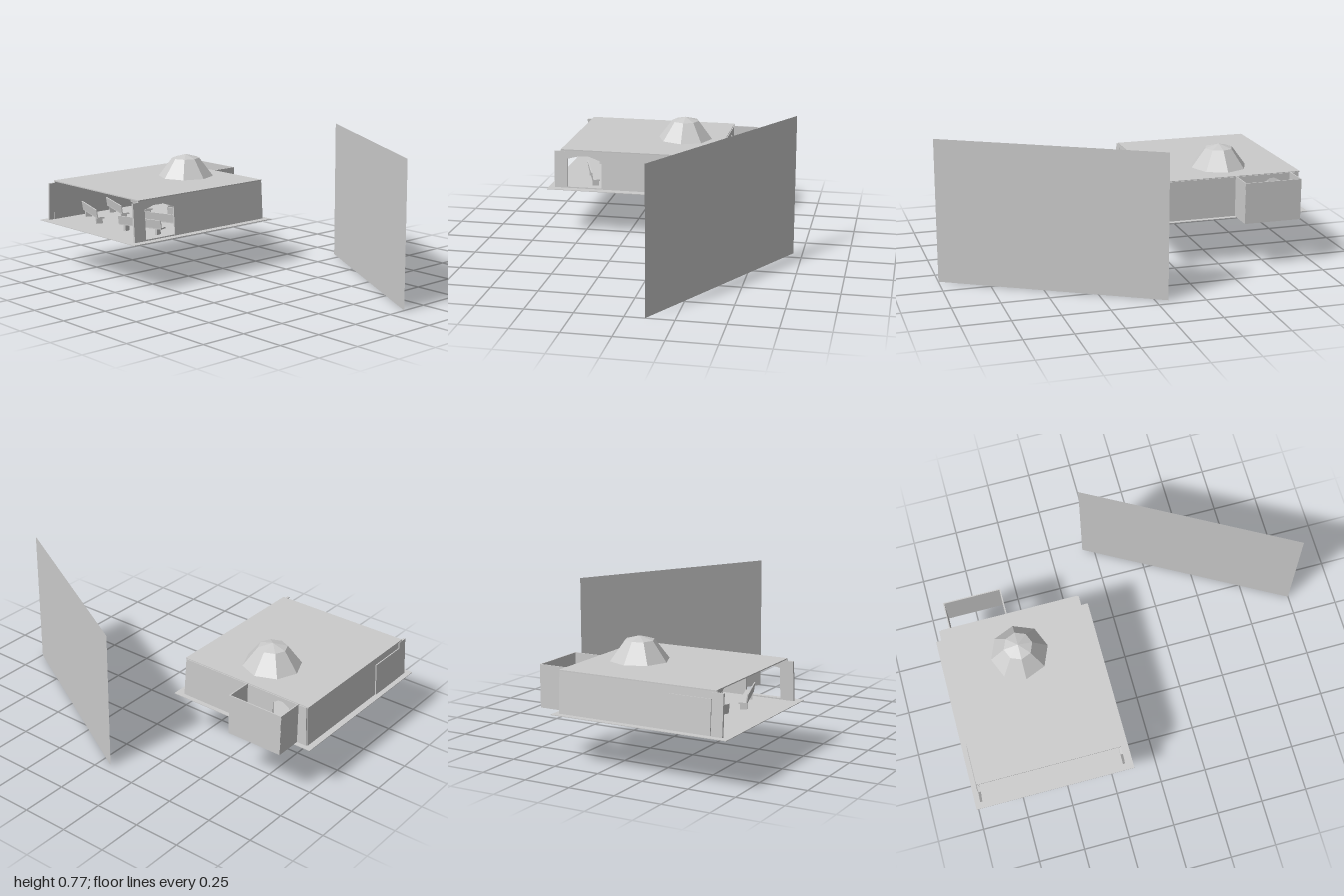
import * as THREE from 'three';

const mat = new THREE.MeshStandardMaterial({ color: 0xcccccc, flatShading: true, side: THREE.DoubleSide });
const FLOOR = 0.26, TOP = 0.478, CX = -0.577;

function add(parent, name, geo, x = 0, y = 0, z = 0) {
  const m = new THREE.Mesh(geo, mat);
  m.name = name;
  m.position.set(x, y, z);
  parent.add(m);
  return m;
}
const box = (parent, name, w, h, d, x, y, z) => add(parent, name, new THREE.BoxGeometry(w, h, d), x, y, z);
const outline = (pts) => pts.map(([a, b]) => new THREE.Vector2(a, b));

// Upright slab with optional opening, drawn in (u, y)
function slab(pts, hole, depth) {
  const s = new THREE.Shape(outline(pts));
  if (hole) s.holes.push(new THREE.Path(outline(hole)));
  return new THREE.ExtrudeGeometry(s, { depth, bevelEnabled: false });
}

// Side wall running along z, leaning inwards towards the roof
function sideWall(hole, x, side) {
  const geo = slab([[-0.24, FLOOR], [0.63, FLOOR], [0.63, TOP], [-0.24, TOP]], hole, 0.008);
  geo.rotateY(-Math.PI / 2);
  const p = geo.attributes.position;
  for (let i = 0; i < p.count; i++) p.setX(i, p.getX(i) + x - side * (p.getY(i) - FLOOR) * 0.06);
  geo.computeVertexNormals();
  return geo;
}

// Pew facing the altar: seat, backrest and end supports
function pew() {
  const g = new THREE.Group();
  g.name = 'pew';
  box(g, 'pewSeat', 0.27, 0.008, 0.042, 0, 0.299, 0);
  const back = box(g, 'pewBack', 0.27, 0.045, 0.006, 0, 0.323, 0.022);
  back.rotation.x = 0.15;
  for (const x of [-0.1, 0.1]) box(g, 'pewLeg', 0.014, 0.04, 0.036, x, 0.277, 0);
  return g;
}

export function createModel() {
  const model = new THREE.Group();
  model.name = 'chapel';

  // Free-standing upright panel, turned to the building
  const panel = add(model, 'backdropPanel', new THREE.PlaneGeometry(1.22, 0.767), 0.467, 0.3835, -0.403);
  panel.rotation.y = -Math.atan2(0.595, 1.062);

  // Ground and roof
  box(model, 'ground', 0.86, 0.003, 0.97, -0.57, FLOOR, 0.215);
  box(model, 'roof', 0.768, 0.006, 0.868, CX, 0.479, 0.194);

  // Dome with eight sides
  const dome = new THREE.LatheGeometry(outline([[0.156, 0.48], [0.077, 0.585], [0, 0.606]]), 8);
  add(model, 'dome', dome, CX, 0, -0.011);

  // Side walls: side doorway on the left, closed door on the right
  const sideDoor = [[0.395, 0.268], [0.59, 0.268], [0.59, 0.428], [0.53, 0.444], [0.47, 0.446], [0.395, 0.42]];
  add(model, 'leftWall', sideWall(sideDoor, -0.183, 1));
  add(model, 'rightWall', sideWall(null, -0.959, -1));
  box(model, 'closedDoor', 0.006, 0.175, 0.225, -0.966, 0.351, 0.49).rotation.z = -0.06;

  // Front posts at the open end
  for (const s of [-1, 1]) {
    const post = box(model, 'frontPost', 0.012, 0.208, 0.06, CX + s * 0.383, 0.366, 0.635);
    post.rotation.z = s * 0.06;
  }

  // Back wall with arched doorway into the annex
  const arch = [[-0.85, 0.268], [-0.753, 0.268], [-0.753, 0.435], [-0.785, 0.456], [-0.81, 0.458], [-0.85, 0.438]];
  const backShape = [[-0.963, FLOOR], [-0.187, FLOOR], [-0.2, TOP], [-0.95, TOP]];
  add(model, 'backWall', slab(backShape, arch, 0.006), 0, 0, -0.245);

  // Roofless annex behind the back wall
  const h = 0.222, y = FLOOR + h / 2;
  box(model, 'annexBack', 0.315, h, 0.006, -0.748, y, -0.389);
  for (const x of [-0.903, -0.593]) box(model, 'annexSide', 0.006, h, 0.15, x, y, -0.315);

  // Cross and altar
  box(model, 'crossUpright', 0.008, 0.072, 0.008, CX, 0.419, -0.232);
  box(model, 'crossArm', 0.046, 0.008, 0.008, CX, 0.434, -0.232);
  box(model, 'altarTop', 0.066, 0.04, 0.045, CX, 0.32, -0.14);
  box(model, 'altarFoot', 0.045, 0.04, 0.03, CX, 0.28, -0.14);

  // Two columns of pews angled towards the altar
  for (const z of [0.48, 0.31, 0.14, -0.03]) {
    for (const s of [-1, 1]) {
      const p = pew();
      p.position.set(CX + s * 0.218, 0, z);
      p.rotation.y = s * 0.33;
      model.add(p);
    }
  }
  return model;
}
